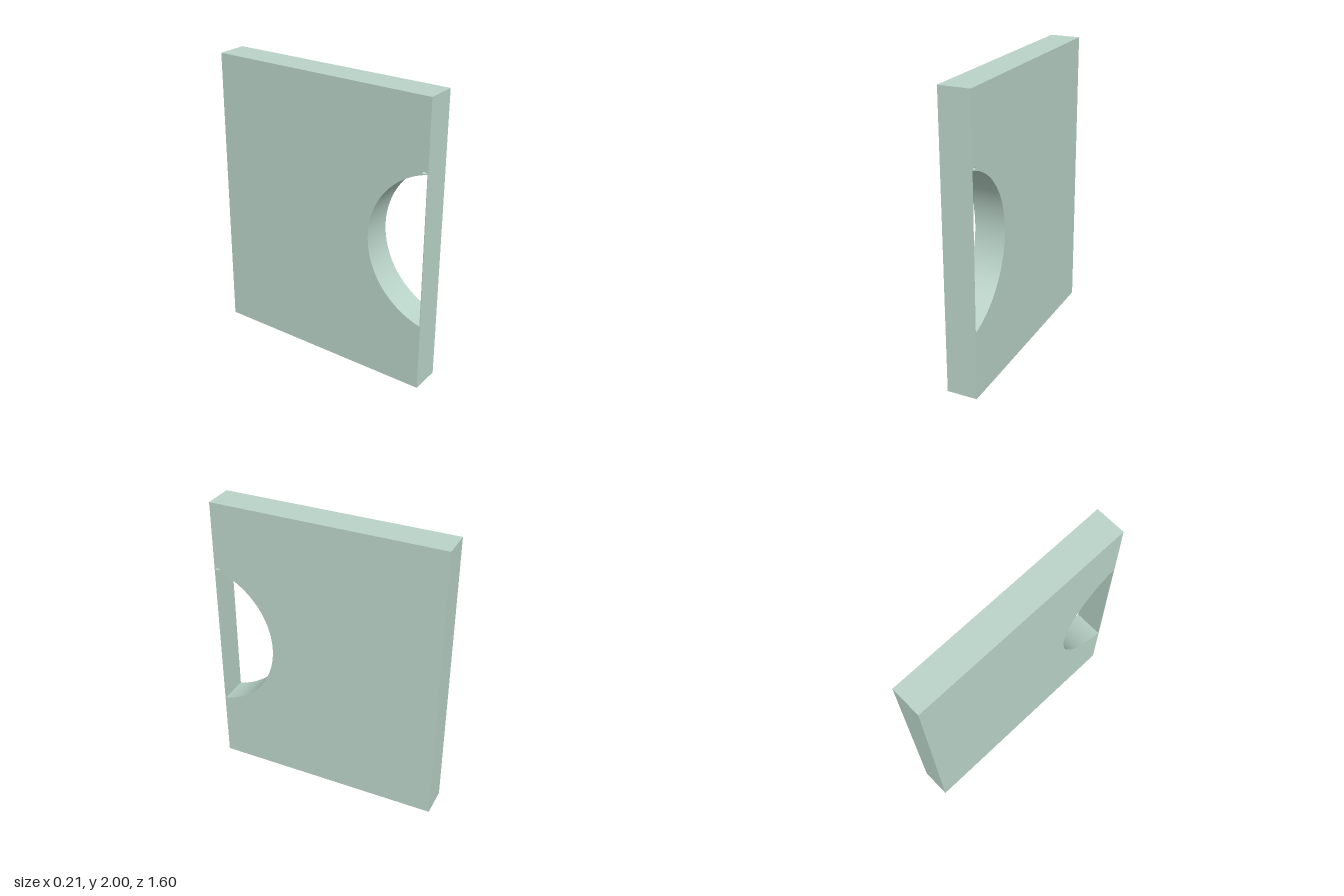
import * as THREE from 'three';

const HEIGHT = 2, DEPTH = 1.595, WIDTH = 0.21;

export function createModel() {
  const group = new THREE.Group();
  const material = new THREE.MeshStandardMaterial({ color: 0xb9d3c8 });
  const front = -DEPTH / 2; // shape x runs towards the back (-z)

  // Side outline of the slab
  const outline = new THREE.Shape();
  outline.moveTo(front, 0);
  outline.lineTo(-front, 0);
  outline.lineTo(-front, HEIGHT);
  outline.lineTo(front, HEIGHT);
  outline.closePath();

  // Circular-segment opening, leaving a thin wall along the front
  const radius = 0.541, centre = -0.926, wall = front + 0.005;
  const angle = Math.acos((wall - centre) / radius);
  const opening = new THREE.Path();
  opening.absarc(centre, 1, radius, -angle, angle, false);
  opening.closePath();
  outline.holes.push(opening);

  // Tiny oval hole at the upper tip of the opening
  const pinhole = new THREE.Path();
  pinhole.absellipse(-0.774, 1.531, 0.017, 0.006, 0, Math.PI * 2, false);
  outline.holes.push(pinhole);

  const geometry = new THREE.ExtrudeGeometry(outline, {
    depth: WIDTH, bevelEnabled: false, curveSegments: 48,
  });
  geometry.translate(0, 0, -WIDTH / 2);
  geometry.rotateY(Math.PI / 2);

  // Smooth shading around the curved opening wall
  const pos = geometry.attributes.position, nor = geometry.attributes.normal;
  for (let i = 0; i < pos.count; i++) {
    const dy = pos.getY(i) - 1, dz = pos.getZ(i) + centre;
    const onArc = Math.abs(Math.hypot(dy, dz) - radius) < 0.001;
    const sideways = Math.abs(nor.getX(i)) < 0.5;
    if (onArc && sideways && nor.getZ(i) > -0.9999) {
      nor.setXYZ(i, 0, -dy / radius, -dz / radius);
    }
  }

  const slab = new THREE.Mesh(geometry, material);
  slab.name = 'slabWithOpening';
  group.add(slab);
  return group;
}
